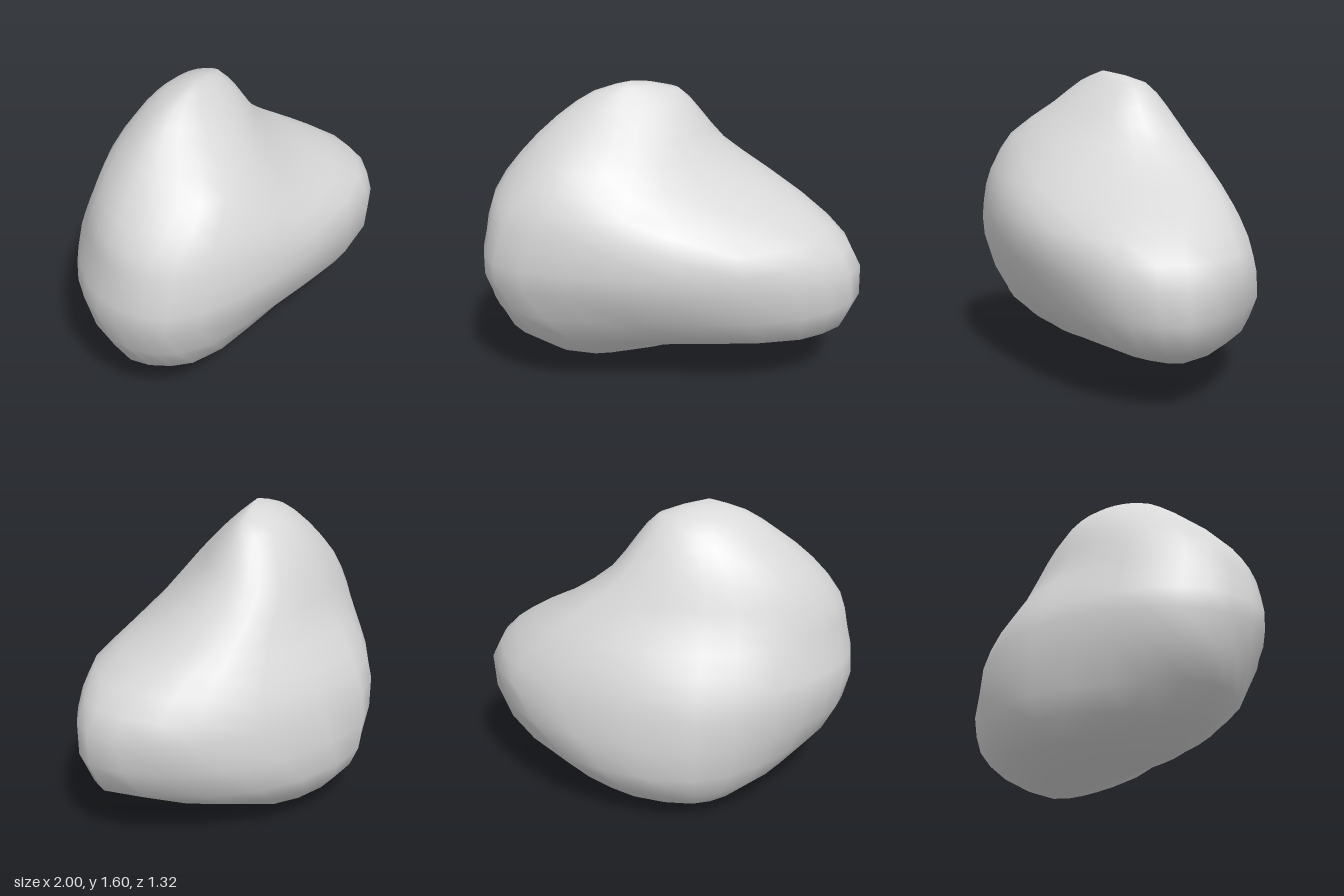
import * as THREE from 'three';
import { mergeVertices } from 'three/addons/utils/BufferGeometryUtils.js';

// Level outlines, bottom to top: height, then x,z points running right-front-left-back
const LEVELS = [
  [0.1, [[.36, -.1], [.23, -.02], [-.08, .07], [-.42, .22], [-.48, .03], [-.44, -.32], [-.22, -.5], [.23, -.41]]],
  [0.31, [[.94, .14], [.68, .41], [-.05, .46], [-.68, .45], [-.88, .2], [-.69, -.25], [-.24, -.63], [.46, -.49]]],
  [0.64, [[1, .18], [.65, .53], [-.3, .645], [-.9, .48], [-1, .1], [-.79, -.28], [-.24, -.64], [.77, -.33]]],
  [0.85, [[.85, .12], [.6, .49], [-.25, .66], [-.87, .49], [-.97, .15], [-.77, -.24], [-.25, -.55], [.66, -.32]]],
  [1.04, [[.56, -.05], [.38, .28], [-.22, .6], [-.8, .48], [-.93, .16], [-.74, -.2], [-.25, -.42], [.45, -.31]]],
  [1.24, [[.28, -.07], [.17, .17], [-.18, .43], [-.6, .45], [-.79, .14], [-.64, -.17], [-.25, -.34], [.2, -.27]]],
  [1.42, [[.14, -.05], [.06, .11], [-.18, .25], [-.45, .25], [-.6, .08], [-.46, -.14], [-.2, -.25], [.07, -.19]]],
  [1.54, [[.03, -.04], [-.04, .05], [-.2, .12], [-.34, .13], [-.42, .06], [-.34, -.06], [-.2, -.13], [-.04, -.12]]],
];
const BOTTOM = new THREE.Vector3(0.14, 0, -0.18);
const TOP = new THREE.Vector3(-0.22, 1.6, 0.05);
const AROUND = 24;
const ROWS = 18;

// Smooth skin through the level outlines, closed at both poles
function boulderGeometry() {
  const rings = LEVELS.map(([y, outline]) => {
    const points = outline.map(([x, z]) => new THREE.Vector3(x, y, z));
    const curve = new THREE.CatmullRomCurve3(points, true);
    return curve.getPoints(AROUND);
  });
  const positions = [];
  const index = [];
  for (let i = 0; i < AROUND; i++) {
    const column = new THREE.CatmullRomCurve3([BOTTOM, ...rings.map((ring) => ring[i]), TOP]);
    for (const p of column.getPoints(ROWS)) positions.push(p.x, Math.max(p.y, 0), p.z);
    const next = (i + 1) % AROUND;
    for (let j = 0; j < ROWS; j++) {
      const a = i * (ROWS + 1) + j;
      const b = next * (ROWS + 1) + j;
      if (j < ROWS - 1) index.push(a, a + 1, b + 1);
      if (j > 0) index.push(a, b + 1, b);
    }
  }
  const geometry = new THREE.BufferGeometry();
  geometry.setAttribute('position', new THREE.Float32BufferAttribute(positions, 3));
  geometry.setIndex(index);
  const merged = mergeVertices(geometry, 1e-4);
  merged.computeVertexNormals();
  return merged;
}

export function createModel() {
  const stone = new THREE.MeshStandardMaterial({ color: 0xd8d8d8 });
  stone.name = 'stone grey';
  const boulder = new THREE.Mesh(boulderGeometry(), stone);
  boulder.name = 'boulder';
  const model = new THREE.Group();
  model.name = 'rock';
  model.add(boulder);
  return model;
}
